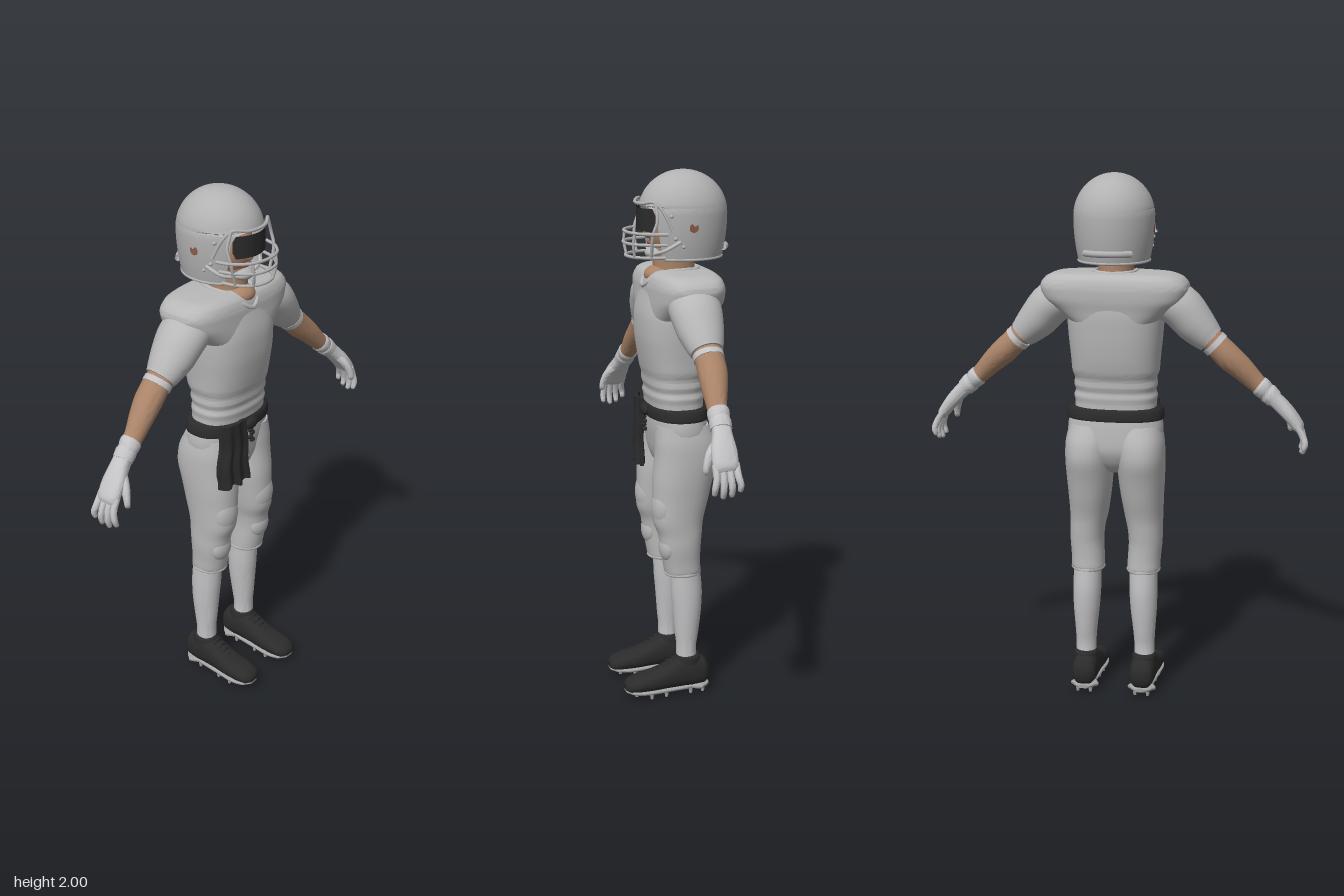
import * as THREE from 'three';
import { toCreasedNormals } from 'three/addons/utils/BufferGeometryUtils.js';

const mat = (name, color, side = THREE.FrontSide) => {
  const m = new THREE.MeshStandardMaterial({ color, side });
  m.name = name;
  return m;
};
const X = new THREE.Vector3(1, 0, 0), Y = new THREE.Vector3(0, 1, 0), Z = new THREE.Vector3(0, 0, 1);

// Skin a grid of points: rows of equal length
function grid(rows) {
  const w = rows[0].length, pos = rows.flat().flatMap(p => [p.x, p.y, p.z]), idx = [];
  for (let i = 0; i < rows.length - 1; i++) for (let j = 0; j < w - 1; j++) {
    const a = i * w + j, c = a + w;
    idx.push(a, c, a + 1, a + 1, c, c + 1);
  }
  const g = new THREE.BufferGeometry();
  g.setAttribute('position', new THREE.Float32BufferAttribute(pos, 3));
  g.setIndex(idx);
  return toCreasedNormals(g, 0.9);
}

// Smooth closed loft through sections [x, y, z, radiusA, radiusB]
function loft(sections, { n = 2, axis = null, ref = Z, seg = 28, sub = 4 } = {}) {
  const path = new THREE.CatmullRomCurve3(sections.map(s => new THREE.Vector3(s[0], s[1], s[2])));
  const size = new THREE.CatmullRomCurve3(sections.map(s => new THREE.Vector3(s[3], s[4], 0)));
  const count = (sections.length - 1) * sub, rows = [];
  const pw = c => Math.sign(c) * Math.abs(c) ** (2 / n);
  for (let i = 0; i <= count; i++) {
    const c = path.getPoint(i / count), r = size.getPoint(i / count);
    const t = axis || path.getTangent(i / count);
    const u = new THREE.Vector3().crossVectors(t, ref).normalize();
    const v = new THREE.Vector3().crossVectors(u, t).normalize();
    const ring = [], cap = [];
    for (let j = 0; j <= seg; j++) {
      const a = (j % seg) / seg * Math.PI * 2;
      ring.push(c.clone().addScaledVector(u, r.x * pw(Math.cos(a))).addScaledVector(v, r.y * pw(Math.sin(a))));
      cap.push(c);
    }
    if (i === 0) rows.push(cap);
    rows.push(ring);
    if (i === count) rows.push(cap);
  }
  return grid(rows);
}
const upright = (rows, opt = {}) => loft(rows, { axis: Y, ...opt });

export function createModel() {
  const model = new THREE.Group();
  const M = {
    cloth: mat('grey cloth', 0xb8b8b8),
    shell: mat('helmet grey', 0xb2b2b2, THREE.DoubleSide),
    glove: mat('light grey', 0xc2c2c4),
    skin: mat('skin', 0xa98368),
    lips: mat('lips', 0x8c5a48),
    black: mat('black', 0x2b2b2b, THREE.DoubleSide),
    sole: mat('sole grey', 0xa2a2a2),
  };
  const add = (name, geo, material) => {
    const m = new THREE.Mesh(geo, material);
    m.name = name;
    model.add(m);
    return m;
  };
  const ball = (name, material, [x, y, z], [a, b, c]) =>
    add(name, new THREE.SphereGeometry(1, 24, 16).scale(a, b, c).translate(x, y, z), material);
  const tube = (name, material, pts, r, closed = false) => add(name, new THREE.TubeGeometry(
    new THREE.CatmullRomCurve3(pts.map(p => new THREE.Vector3(...p)), closed), 32, r, 8, closed), material);
  // Tube symmetric about the middle, given from the left end to the centre
  const arch = (name, material, pts, r) => tube(name, material,
    [...pts, ...pts.slice().reverse().filter(p => p[0] !== 0).map(([x, y, z]) => [-x, y, z])], r);

  // Jersey body with gathers at the waist
  add('jersey', upright([
    [0, 1.115, -.015, .156, .1], [0, 1.15, -.013, .153, .1], [0, 1.175, -.012, .157, .104],
    [0, 1.195, -.012, .151, .101], [0, 1.22, -.012, .157, .108], [0, 1.24, -.012, .154, .108],
    [0, 1.27, -.014, .163, .118], [0, 1.32, -.015, .167, .128], [0, 1.4, -.015, .175, .138],
    [0, 1.48, -.018, .18, .14], [0, 1.57, -.025, .17, .125]], { n: 2.5, seg: 40 }), M.cloth);
  add('shoulderPads', upright([
    [0, 1.46, -.022, .16, .128], [0, 1.505, -.025, .215, .13], [0, 1.545, -.03, .262, .132],
    [0, 1.59, -.032, .275, .131], [0, 1.622, -.033, .255, .12], [0, 1.638, -.034, .215, .1],
    [0, 1.643, -.034, .15, .075]], { n: 3.2, seg: 48 }), M.cloth);
  arch('collar', M.cloth, [[0.001, 1.64, -.11], [.06, 1.642, -.085], [.076, 1.642, -.03], [.066, 1.636, .04], [.04, 1.605, .09], [0, 1.582, .104]], .008);
  ball('neckOpening', M.skin, [0, 1.62, .045], [.058, .036, .052]);

  // Neck and head
  add('neck', upright([[0, 1.58, -.02, .075, .085], [0, 1.65, -.015, .065, .078], [0, 1.74, -.015, .066, .08]]), M.skin);
  ball('head', M.skin, [0, 1.79, -.02], [.089, .115, .103]);
  ball('nose', M.skin, [0, 1.775, .083], [.015, .02, .018]);
  ball('mouth', M.lips, [0, 1.738, .073], [.028, .009, .012]);
  ball('chinCup', M.shell, [0, 1.7, .06], [.042, .022, .034]);

  // Helmet shell, cut open around the face
  const rows = [];
  for (let i = 0; i <= 48; i++) {
    const k = i / 48, low = Math.max(0, k - .6) / .4;
    const y = k < .6 ? 1.845 + .155 * Math.cos(k / .6 * Math.PI / 2) : 1.845 - .16 * low;
    const f = k < .6 ? Math.sin(k / .6 * Math.PI / 2) : 1 - .12 * low * low;
    const open = y > 1.875 ? 0 : (.68 + .1 * low) * (1 - Math.max(0, (y - 1.8) / .075) ** 4) ** .25;
    const row = [];
    for (let j = 0; j <= 56; j++) {
      const a = open + (2 * Math.PI - 2 * open) * j / 56;
      row.push(new THREE.Vector3(.148 * f * Math.sin(a), y, -.05 + .165 * f * Math.cos(a)));
    }
    rows.push(row);
  }
  add('helmetShell', grid(rows), M.shell);
  tube('helmetRim', M.shell, Array.from({ length: 25 }, (_, j) => {
    const a = .78 + (2 * Math.PI - 1.56) * j / 24;
    return [.13 * Math.sin(a), 1.686, -.05 + .145 * Math.cos(a)];
  }), .005);
  arch('rearBumper', M.shell, [[.085, 1.722, -.178], [.05, 1.722, -.199], [0, 1.722, -.208]], .012);

  // Dark visor
  const visor = [1.868, 1.845, 1.81, 1.785].map((y, i) => Array.from({ length: 21 }, (_, j) => {
    const a = (j / 10 - 1) * (i % 3 ? .8 : .7);
    return new THREE.Vector3(.125 * Math.sin(a), y, -.008 + .13 * Math.cos(a));
  }));
  add('visor', grid(visor), M.black);

  // Face cage
  arch('upperCageBar', M.shell, [[.135, 1.79, .03], [.118, 1.86, .062], [.095, 1.892, .088], [.05, 1.886, .118], [0, 1.884, .125]], .006);
  for (const [y, w, d] of [[1.782, .138, .168], [1.742, .122, .172], [1.694, .106, .165]])
    arch('cageBar', M.shell, [[w, y, .05], [w * .86, y, .105], [w * .5, y, d - .015], [0, y, d]], .006);
  for (const s of [1, -1]) {
    tube('cageUpright', M.shell, [[s * .064, 1.785, .152], [s * .062, 1.742, .157], [s * .054, 1.692, .15]], .0055);
    tube('cageSide', M.shell, [[s * .1, 1.89, .085], [s * .12, 1.83, .085], [s * .118, 1.78, .1], [s * .093, 1.692, .1]], .006);
    tube('chinStrap', M.glove, [[s * .138, 1.755, 0], [s * .105, 1.72, .05], [s * .04, 1.7, .07]], .007);
    const hole = add('earHole', new THREE.CylinderGeometry(.017, .017, .006, 20).rotateZ(Math.PI / 2), M.lips);
    hole.position.set(s * .144, 1.803, -.045);
    for (const [y, z] of [[1.845, .035], [1.765, .02], [1.735, -.01]])
      ball('helmetSnap', M.shell, [s * (y > 1.8 ? .129 : .132), y, z], [.009, .007, .007]);
  }

  // Seat, belt and knotted lace
  add('seat', upright([[0, .885, -.02, .03, .05], [0, .92, -.022, .1, .085], [0, .98, -.026, .168, .106],
    [0, 1.05, -.02, .181, .108], [0, 1.12, -.015, .17, .103]], { n: 2.4 }), M.cloth);
  add('belt', upright([[0, 1.092, -.017, .183, .112], [0, 1.1, -.017, .184, .114], [0, 1.13, -.016, .178, .111],
    [0, 1.136, -.016, .172, .106]], { n: 2.4, seg: 40 }), M.black);
  ball('beltKnot', M.black, [0, 1.112, .1], [.034, .022, .014]);
  for (let i = 0; i < 4; i++)
    ball('laceLink', M.black, [i % 2 ? .006 : -.004, 1.085 - i * .015, .1], [.014, .008, .008]);

  // Hanging towel with soft folds
  const towel = new THREE.BoxGeometry(.135, .26, .014, 28, 12, 1), tp = towel.attributes.position;
  for (let i = 0; i < tp.count; i++) {
    const x = tp.getX(i), y = tp.getY(i), drop = (.13 - y) / .26;
    tp.setXYZ(i, -.09 + x * (.85 + .2 * drop) + .004 * Math.sin(y * 40),
      1.015 + y - .006 * Math.sin(x * 90) * drop,
      .101 + tp.getZ(i) + .006 * Math.sin(x * 120) * (.3 + drop) - 3 * x * x * (x < 0 ? 1.6 : .3));
  }
  towel.computeVertexNormals();
  add('towel', towel, M.black);

  for (const s of [1, -1]) {
    const side = r => r.map(([x, ...o]) => [s * x, ...o]);

    // Sleeve, arm and bands
    add('sleeve', loft(side([[.16, 1.55, -.025, .07, .085], [.235, 1.52, -.02, .08, .096], [.295, 1.455, -.02, .074, .085],
      [.34, 1.41, -.021, .06, .068], [.357, 1.395, -.022, .053, .06]]), { seg: 32 }), M.cloth);
    add('arm', loft(side([[.3, 1.45, -.02, .04, .045], [.37, 1.385, -.022, .046, .053], [.42, 1.335, -.02, .049, .053],
      [.47, 1.29, -.01, .044, .046], [.52, 1.24, 0, .036, .036], [.58, 1.185, .006, .029, .031]])), M.skin);
    add('armBand', loft(side([[.364, 1.388, -.022, .05, .056], [.38, 1.373, -.022, .051, .056]])), M.glove);
    add('wristband', loft(side([[.532, 1.228, .002, .034, .037], [.54, 1.222, .002, .038, .04], [.556, 1.207, .004, .036, .038],
      [.562, 1.202, .004, .034, .036], [.568, 1.197, .005, .037, .039], [.59, 1.176, .008, .034, .038]])), M.glove);

    // Gloved hand
    add('palm', loft(side([[.575, 1.19, .006, .028, .032], [.61, 1.158, .012, .028, .036], [.65, 1.115, .02, .025, .046],
      [.683, 1.07, .024, .021, .045], [.69, 1.055, .024, .012, .035]]), { n: 2.6 }), M.glove);
    for (let f = 0; f < 4; f++) {
      const z = -.014 + f * .025, len = [.8, .95, 1, .9][f], tip = z + (f - 1.5) * .004;
      add('finger', loft(side([[.677, 1.08, z, .012, .012], [.702 - f * .002, 1.08 - .05 * len, z, .0125, .0125],
        [.711 - f * .004, 1.08 - .085 * len, tip, .0115, .0115], [.705 - f * .005, 1.08 - .112 * len, tip, .009, .009],
        [.703 - f * .005, 1.08 - .117 * len, tip, .003, .003]]), { seg: 12 }), M.glove);
    }
    add('thumb', loft(side([[.615, 1.145, .028, .018, .018], [.636, 1.11, .062, .016, .017], [.648, 1.07, .08, .013, .013],
      [.65, 1.043, .084, .01, .01], [.65, 1.038, .084, .003, .003]]), { seg: 14 }), M.glove);

    // Trouser leg with thigh and knee padding
    add('trouserLeg', upright(side([[.106, .485, -.015, .058, .064], [.108, .497, -.015, .063, .069], [.11, .54, -.01, .063, .072],
      [.114, .6, -.005, .064, .078], [.112, .65, -.004, .066, .084], [.107, .7, .002, .072, .096], [.102, .78, -.008, .08, .107],
      [.1, .86, -.018, .087, .116], [.1, .94, -.032, .089, .122], [.097, 1, -.03, .09, .118],
      [.088, 1.07, -.018, .085, .1]]), { n: 2.2 }), M.cloth);
    ball('kneePad', M.cloth, [s * .114, .6, .046], [.05, .058, .032]);
    ball('thighPad', M.cloth, [s * .106, .755, .06], [.058, .085, .044]);
    add('trouserHem', upright(side([[.108, .488, -.015, .063, .069], [.108, .494, -.015, .066, .072], [.108, .5, -.015, .063, .069]])), M.cloth);
    add('sock', upright(side([[.115, .11, -.03, .04, .04], [.115, .18, -.029, .039, .038], [.114, .25, -.031, .043, .046],
      [.112, .34, -.033, .051, .055], [.11, .42, -.031, .054, .06], [.109, .5, -.026, .053, .058]])), M.glove);

    // Boot, sole and studs
    add('boot', loft(side([[.113, .08, -.115, .028, .03], [.113, .083, -.1, .043, .053], [.113, .088, -.05, .049, .064],
      [.113, .087, 0, .05, .062], [.113, .075, .05, .05, .05], [.113, .064, .1, .053, .039], [.113, .058, .16, .053, .032],
      [.113, .052, .2, .043, .024], [.113, .048, .215, .024, .012]]), { n: 2.5, axis: Z, ref: Y }), M.black);
    add('bootCollar', upright(side([[.114, .12, -.033, .048, .055], [.115, .15, -.035, .045, .049], [.115, .157, -.035, .04, .044]])), M.black);
    for (let i = 0; i < 4; i++)
      tube('bootLace', M.black, side([[.09, .135 - i * .013, .025 + i * .02], [.113, .146 - i * .013, .027 + i * .02],
        [.136, .135 - i * .013, .025 + i * .02]]), .005);
    add('sole', loft(side([[.113, .028, -.116, .02, .007], [.113, .028, -.095, .041, .009], [.113, .027, -.02, .041, .009],
      [.113, .027, .06, .047, .009], [.113, .028, .14, .054, .009], [.113, .031, .19, .044, .009],
      [.113, .035, .214, .02, .007]]), { n: 3.5, axis: Z, ref: Y }), M.sole);
    for (const [dx, z] of [[.025, -.09], [-.025, -.09], [.027, -.04], [-.027, -.04], [.032, .06], [-.032, .06], [.036, .12], [-.036, .12], [0, .17]])
      add('stud', new THREE.CylinderGeometry(.009, .006, .024, 10).translate(s * .113 + dx, .012, z), M.sole);
  }
  return model;
}
